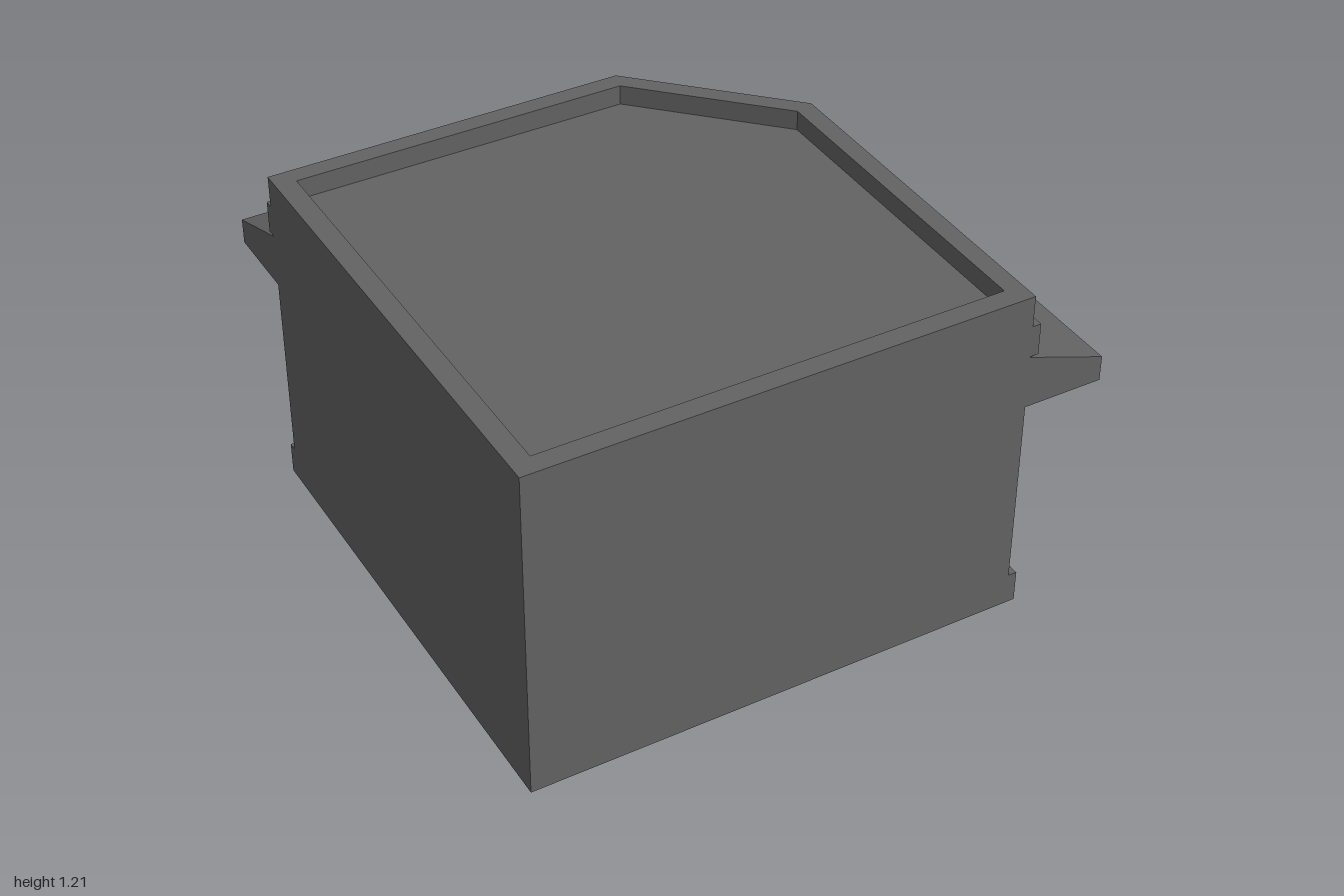
import * as THREE from 'three';

const HEIGHT = 1.205, RECESS = 0.03, ROOF = 1.135, PLINTH = 0.113;

const material = new THREE.MeshStandardMaterial({
  color: 0x636363, flatShading: true, side: THREE.DoubleSide,
});

function add(parent, name, geometry) {
  const mesh = new THREE.Mesh(geometry, material);
  mesh.name = name;
  parent.add(mesh);
  return mesh;
}

const vectors = (points) => points.map(([x, y]) => new THREE.Vector2(x, y));
// Plan points are [x, z]; shapes are drawn with y = -z and then laid flat.
const flip = (points) => points.map(([x, z]) => [x, -z]);
const planShape = (points) => new THREE.Shape(vectors(flip(points)));
// Reflection across the diagonal that runs through the cut corner.
const mirror = (points) => points.map(([x, z]) => [-z, -x]);
const rect = (u0, u1, v0, v1) => [[u0, v0], [u1, v0], [u1, v1], [u0, v1]];
const loop = (points) => [...points, points[0]];

// Ribbon of quads joining a path at depth 0 to the same path at -depth
function ribbon(path, depth) {
  const pos = [];
  for (let i = 0; i < path.length - 1; i++) {
    const [ax, ay] = path[i], [bx, by] = path[i + 1];
    pos.push(ax, ay, 0, bx, by, 0, bx, by, -depth);
    pos.push(ax, ay, 0, bx, by, -depth, ax, ay, -depth);
  }
  const g = new THREE.BufferGeometry();
  g.setAttribute('position', new THREE.Float32BufferAttribute(pos, 3));
  g.computeVertexNormals();
  return g;
}

// Flat plan surface and vertical plan ribbon, both hung from height y
const flat = (shape, y) => new THREE.ShapeGeometry(shape).rotateX(-Math.PI / 2).translate(0, y, 0);
const skirt = (path, depth, y) => ribbon(flip(path), depth).rotateX(-Math.PI / 2).translate(0, y, 0);

// Wall frame: local x runs along the wall, y up, z outward
function buildWall(name, [ax, az], [bx, bz], opening, openingName) {
  const wall = new THREE.Group();
  wall.name = name;
  wall.position.set(ax, 0, az);
  wall.rotation.y = Math.atan2(az - bz, bx - ax);
  const length = Math.hypot(bx - ax, bz - az);

  let face = new THREE.Shape(vectors(rect(0, length, 0, HEIGHT)));
  if (opening) {
    const [u0, u1, v0, v1] = opening;
    let edge = loop(rect(u0, u1, v0, v1));
    if (v0 === 0) { // doorway notched into the bottom edge, without a sill
      edge = [[u0, 0], [u0, v1], [u1, v1], [u1, 0]];
      face = new THREE.Shape(vectors([[0, 0], ...edge, [length, 0], [length, HEIGHT], [0, HEIGHT]]));
    } else {
      face.holes.push(new THREE.Path(vectors(rect(u0, u1, v0, v1))));
    }
    add(wall, openingName + 'Reveal', ribbon(edge, RECESS));
    add(wall, openingName, new THREE.PlaneGeometry(u1 - u0, v1 - v0))
      .position.set((u0 + u1) / 2, (v0 + v1) / 2, -RECESS);
  }
  add(wall, name + 'Face', new THREE.ShapeGeometry(face));
  return wall;
}

// Wedge canopy along the full length of a wall
function addAwning(wall, length) {
  const profile = new THREE.Shape(vectors([[0, 0.791], [0.28, 0.791], [0.28, 0.88], [0, 0.98]]));
  add(wall, 'awning', new THREE.ExtrudeGeometry(profile, { depth: length, bevelEnabled: false })
    .rotateY(-Math.PI / 2).translate(length, 0, 0));
}

export function createModel() {
  const model = new THREE.Group();
  model.name = 'cornerShop';

  // Walls around a square plan with one cut corner; the underside is open
  const plan = [[-1, 1], [0.72, 1], [0.72, -0.25], [0.25, -0.72], [-1, -0.72]];
  const shopWindow = [0.27, 0.985, 0.273, 0.653];
  const walls = [
    ['frontWall'],
    ['sideShopWall', shopWindow, 'shopWindow'],
    ['cornerWall', [0.171, 0.496, 0, 0.653], 'door'],
    ['backShopWall', shopWindow, 'shopWindow'],
    ['plainSideWall'],
  ].map(([name, opening, openingName], i) => {
    const wall = buildWall(name, plan[i], plan[(i + 1) % plan.length], opening, openingName);
    model.add(wall);
    return wall;
  });
  addAwning(walls[1], 1.25);
  addAwning(walls[3], 1.25);

  // Sign board above the door
  add(walls[2], 'signBoard', new THREE.BoxGeometry(0.61, 0.345, 0.065))
    .position.set(0.3325, 0.983, 0.04);

  // Parapet rim and sunken roof
  const inner = [[-0.93, 0.93], [0.655, 0.93], [0.655, -0.23], [0.23, -0.655], [-0.93, -0.655]];
  const rim = planShape(plan);
  rim.holes.push(new THREE.Path(vectors(flip(inner))));
  add(model, 'parapetTop', flat(rim, HEIGHT));
  add(model, 'parapetInside', skirt(loop(inner), HEIGHT - ROOF, HEIGHT));
  add(model, 'roof', flat(planShape(inner), ROOF));

  // Plinth on both sides of the door, open underneath
  const plinth = [[0.72, 1], [0.75, 1], [0.75, -0.2625], [0.62, -0.392], [0.599, -0.371]];
  const plinthTop = [...plinth, [0.72, -0.25]];
  for (const [name, place] of [['sidePlinth', (p) => p], ['backPlinth', mirror]]) {
    add(model, name + 'Face', skirt(place(plinth), PLINTH, PLINTH));
    add(model, name + 'Top', flat(planShape(place(plinthTop)), PLINTH));
  }

  // Cornice band wrapping the shop walls
  const half = [[0.72, -0.25], [0.72, 1], [0.75, 1], [0.75, -0.2625]];
  const band = planShape([...half, ...mirror(half).reverse()]);
  add(model, 'corniceBand', new THREE.ExtrudeGeometry(band, { depth: 0.112, bevelEnabled: false })
    .rotateX(-Math.PI / 2).translate(0, 0.982, 0));

  return model;
}
